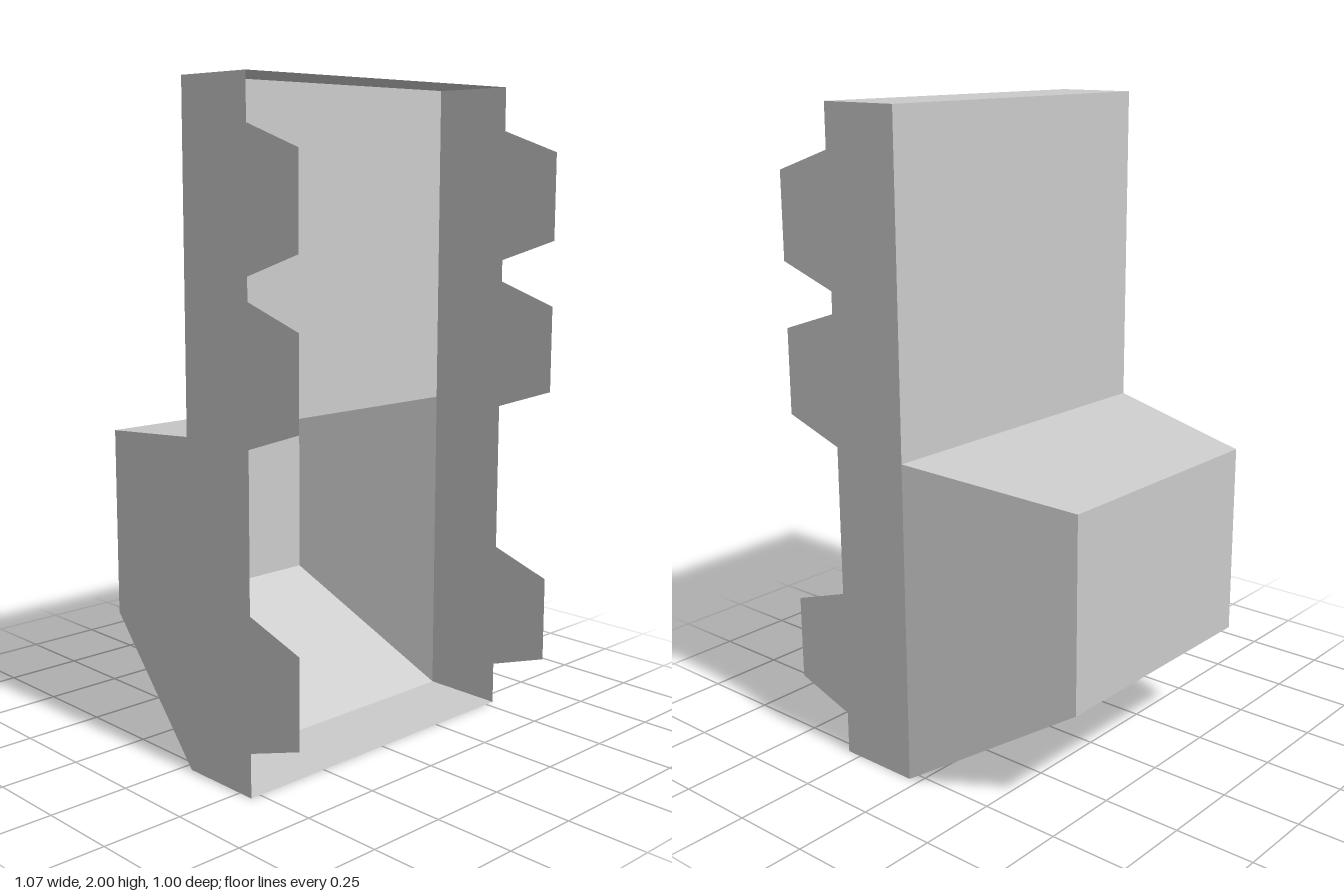
import * as THREE from 'three';

const HALF_W = 0.533, HEIGHT = 2, FRONT = 0.3, BACK = 0.033;

const material = new THREE.MeshStandardMaterial({
  color: 0xcccccc, flatShading: true, side: THREE.DoubleSide,
});

// Rectangular cross-section at depth z, anticlockwise seen from the front
const ring = (halfW, y0, y1, z) => [
  [-halfW, y0, z], [halfW, y0, z], [halfW, y1, z], [-halfW, y1, z],
];

// Four outward-facing walls joining a front ring to a back ring
const walls = (front, back) => front.map((corner, i) => {
  const j = (i + 1) % 4;
  return [corner, back[i], back[j], front[j]];
});

// A ring filled in, facing backwards
const backPanel = (corners) => [...corners].reverse();

function quadMesh(name, quads) {
  const points = quads.flatMap(([a, b, c, d]) => [a, b, c, a, c, d]).flat();
  const geometry = new THREE.BufferGeometry();
  geometry.setAttribute('position', new THREE.Float32BufferAttribute(points, 3));
  geometry.computeVertexNormals();
  const mesh = new THREE.Mesh(geometry, material);
  mesh.name = name;
  return mesh;
}

export function createModel() {
  const group = new THREE.Group();
  group.name = 'openBackedHousing';

  // Open-fronted rectangular frame, with a back panel over its upper half
  group.add(quadMesh('frame', walls(
    ring(HALF_W, 0, HEIGHT, FRONT), ring(HALF_W, 0, HEIGHT, BACK))));
  group.add(quadMesh('upperBackPanel', [backPanel(ring(HALF_W, 1, HEIGHT, BACK))]));

  // Tapered hollow bin bulging out behind the lower half
  const binMouth = ring(HALF_W, 0, 1, BACK);
  const binEnd = ring(0.4, 0.333, 0.933, -0.5);
  group.add(quadMesh('bin', [...walls(binMouth, binEnd), backPanel(binEnd)]));

  // Thin tapered mounting tabs along both front edges
  for (const side of [-1, 1]) {
    for (const y of [0.333, 1.2, 1.667]) {
      const x = side * HALF_W;
      const tab = [
        [x, y - 0.2, FRONT], [x, y + 0.2, FRONT],
        [x, y + 0.133, 0.5], [x, y - 0.133, 0.5],
      ];
      group.add(quadMesh(side > 0 ? 'leftTab' : 'rightTab', [side > 0 ? tab : tab.reverse()]));
    }
  }
  return group;
}
